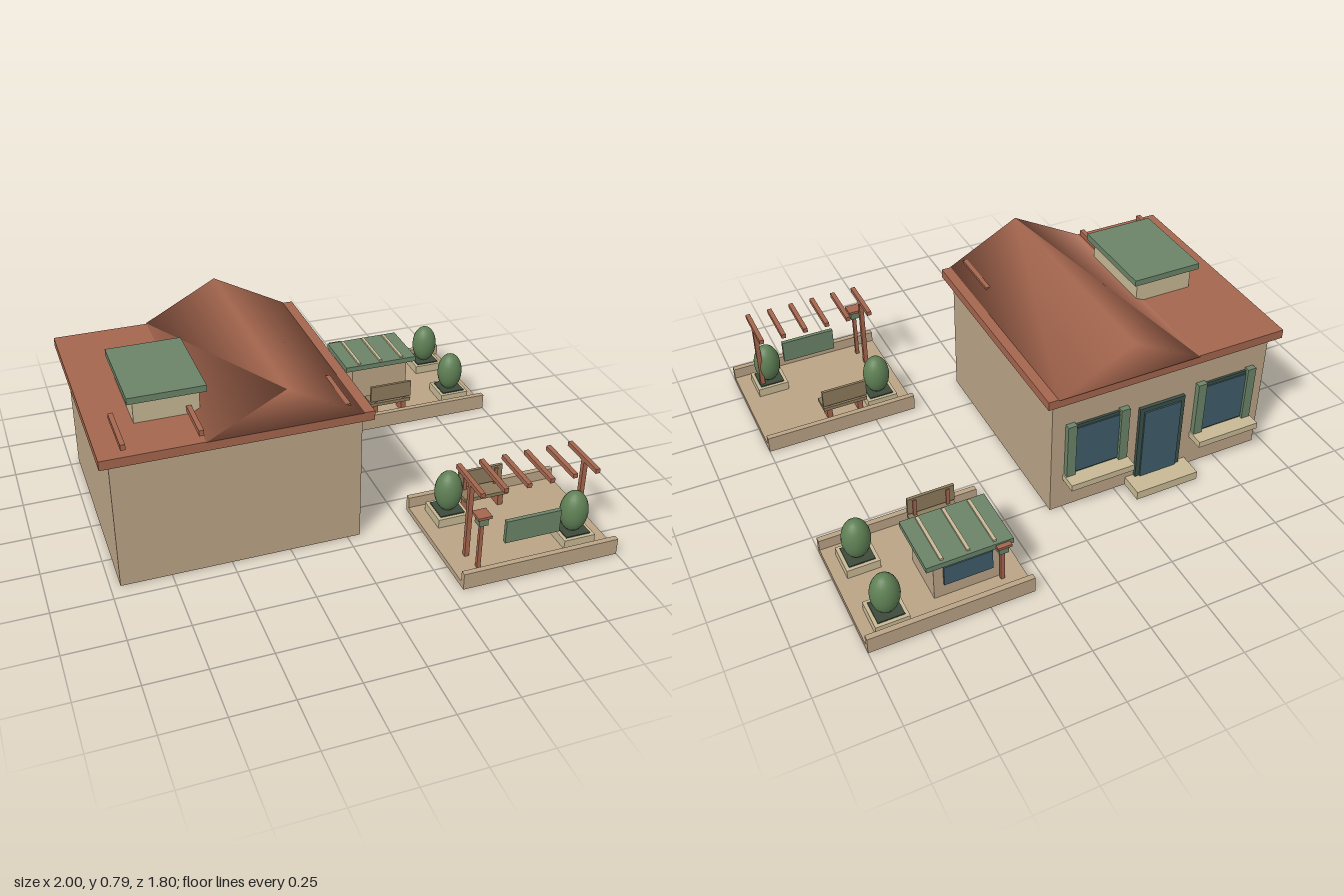
import * as THREE from 'three';

const mat = (color) => new THREE.MeshStandardMaterial({ color });
const M = {
  wall: mat(0xbba486), roof: mat(0xa5664e), green: mat(0x6b8468), cream: mat(0xc8b995),
  glass: mat(0x3f5d69), frame: mat(0x3c5048), leaf: mat(0x5f8055), soil: mat(0x3d4a3a), wood: mat(0x8d7b5d),
};

// Box given by its min and max on each axis
function box(parent, name, m, x0, x1, y0, y1, z0, z1) {
  const mesh = new THREE.Mesh(new THREE.BoxGeometry(x1 - x0, y1 - y0, z1 - z0), m);
  mesh.position.set((x0 + x1) / 2, (y0 + y1) / 2, (z0 + z1) / 2);
  mesh.name = name;
  parent.add(mesh);
  return mesh;
}

function group(parent, name) {
  const g = new THREE.Group();
  g.name = name;
  parent.add(g);
  return g;
}

// Triangular roof prism with shared, smoothed corners
function gableRoof(parent) {
  const geo = new THREE.BufferGeometry();
  const pts = [];
  for (const z of [0.47, -0.573]) pts.push(-0.59, 0.62, z, 0.05, 0.62, z, -0.27, 0.79, z);
  geo.setAttribute('position', new THREE.Float32BufferAttribute(pts, 3));
  geo.setIndex([
    0, 1, 2, 4, 3, 5,
    1, 4, 2, 4, 5, 2,
    0, 2, 3, 2, 5, 3,
    0, 3, 1, 3, 4, 1,
  ]);
  geo.computeVertexNormals();
  const mesh = new THREE.Mesh(geo, M.roof);
  mesh.name = 'gableRoof';
  parent.add(mesh);
}

function shutteredWindow(parent, cx) {
  const g = group(parent, 'window');
  box(g, 'windowFrame', M.frame, cx - 0.115, cx + 0.115, 0.18, 0.435, -0.54, -0.525);
  box(g, 'windowPane', M.glass, cx - 0.1, cx + 0.1, 0.19, 0.42, -0.545, -0.525);
  for (const s of [-1, 1]) {
    const x = cx + s * 0.122;
    box(g, 'shutter', M.green, x - 0.02, x + 0.02, 0.18, 0.445, -0.555, -0.525);
  }
  box(g, 'windowSill', M.cream, cx - 0.147, cx + 0.147, 0.152, 0.182, -0.61, -0.525);
}

function planter(parent, x, z) {
  const g = group(parent, 'planter');
  box(g, 'planterBox', M.cream, x - 0.07, x + 0.07, 0.02, 0.065, z - 0.07, z + 0.07);
  box(g, 'soil', M.soil, x - 0.055, x + 0.055, 0.05, 0.07, z - 0.055, z + 0.055);
  const bush = new THREE.Mesh(new THREE.SphereGeometry(1, 20, 14), M.leaf);
  bush.scale.set(0.06, 0.094, 0.057);
  bush.position.set(x, 0.156, z);
  bush.name = 'bush';
  g.add(bush);
}

// Bench with its back toward the middle; s is the side (+1 front, -1 rear)
function bench(parent, x0, x1, s) {
  const g = group(parent, 'bench');
  const zBox = (name, m, a, b, y0, y1, za, zb) =>
    box(g, name, m, a, b, y0, y1, Math.min(s * za, s * zb), Math.max(s * za, s * zb));
  zBox('benchSeat', M.wood, x0, x1, 0.083, 0.1, 0.39, 0.473);
  zBox('benchBack', M.wood, x0, x1, 0.11, 0.19, 0.39, 0.403);
  for (const x of [x0 + 0.03, x1 - 0.03]) {
    zBox('benchLeg', M.roof, x - 0.012, x + 0.012, 0.02, 0.084, 0.403, 0.462);
    zBox('benchBackPost', M.roof, x - 0.008, x + 0.008, 0.09, 0.18, 0.4, 0.408);
  }
}

function lamp(parent, x, z, top) {
  const g = group(parent, 'lamp');
  box(g, 'lampPost', M.roof, x - 0.008, x + 0.008, 0.02, top - 0.045, z - 0.008, z + 0.008);
  box(g, 'lampHead', M.green, x - 0.02, x + 0.02, top - 0.048, top - 0.01, z - 0.02, z + 0.02);
  box(g, 'lampCap', M.roof, x - 0.03, x + 0.03, top - 0.012, top, z - 0.03, z + 0.03);
}

function terrace(parent, name, z0, z1) {
  const g = group(parent, name);
  box(g, 'terraceFloor', M.wall, 0.31, 1, 0, 0.025, z0, z1);
  box(g, 'terraceCurb', M.wall, 0.31, 1, 0, 0.074, z0, z0 + 0.024);
  box(g, 'terraceCurb', M.wall, 0.31, 1, 0, 0.074, z1 - 0.024, z1);
  return g;
}

export function createModel() {
  const root = new THREE.Group();
  root.name = 'houseWithTerraces';

  // House shell and roof
  const house = group(root, 'house');
  box(house, 'houseWalls', M.wall, -0.96, 0.055, 0, 0.582, -0.53, 0.43);
  box(house, 'roofSlab', M.roof, -1, 0.093, 0.58, 0.62, -0.567, 0.467);
  gableRoof(house);
  for (const x of [-0.9, -0.6, -0.3, -0.01])
    box(house, 'roofRail', M.roof, x - 0.01, x + 0.01, 0.633, 0.657, 0.2, 0.44);
  box(house, 'roofBox', M.cream, -0.82, -0.555, 0.615, 0.722, -0.125, 0.245);
  box(house, 'roofBoxLid', M.green, -0.845, -0.53, 0.72, 0.748, -0.15, 0.27);

  // Entrance side
  box(house, 'doorFrame', M.frame, -0.56, -0.345, 0.03, 0.41, -0.545, -0.525);
  box(house, 'door', M.glass, -0.54, -0.365, 0.04, 0.39, -0.552, -0.525);
  box(house, 'doorStep', M.cream, -0.6, -0.305, 0, 0.04, -0.635, -0.525);
  for (const x of [-0.76, -0.148]) shutteredWindow(house, x);

  // Front terrace with pergola
  const front = terrace(root, 'frontTerrace', 0.33, 0.9);
  planter(front, 0.44, 0.46);
  planter(front, 0.865, 0.76);
  bench(front, 0.515, 0.72, 1);
  lamp(front, 0.412, 0.815, 0.287);
  box(front, 'hangingPanel', M.green, 0.53, 0.775, 0.107, 0.212, 0.792, 0.81);
  const pergola = group(front, 'pergola');
  for (let i = 0; i < 6; i++) {
    const x = 0.4 + i * 0.101;
    box(pergola, 'pergolaBeam', M.roof, x - 0.01, x + 0.01, 0.374, 0.394, 0.61, 0.83);
  }
  for (const x of [0.4, 0.905])
    box(pergola, 'pergolaPost', M.roof, x - 0.01, x + 0.01, 0.02, 0.376, 0.72, 0.74);

  // Rear terrace with kiosk
  const rear = terrace(root, 'rearTerrace', -0.9, -0.33);
  planter(rear, 0.88, -0.785);
  planter(rear, 0.88, -0.475);
  bench(rear, 0.43, 0.635, -1);
  lamp(rear, 0.405, -0.8, 0.224);
  const kiosk = group(rear, 'kiosk');
  box(kiosk, 'kioskWalls', M.wall, 0.4, 0.685, 0.02, 0.21, -0.785, -0.565);
  box(kiosk, 'kioskWindow', M.glass, 0.44, 0.645, 0.09, 0.185, -0.795, -0.78);
  box(kiosk, 'kioskRoof', M.green, 0.36, 0.722, 0.207, 0.232, -0.81, -0.54);
  for (const x of [0.432, 0.542, 0.652])
    box(kiosk, 'kioskRoofBatten', M.cream, x - 0.007, x + 0.007, 0.23, 0.241, -0.795, -0.552);

  return root;
}
